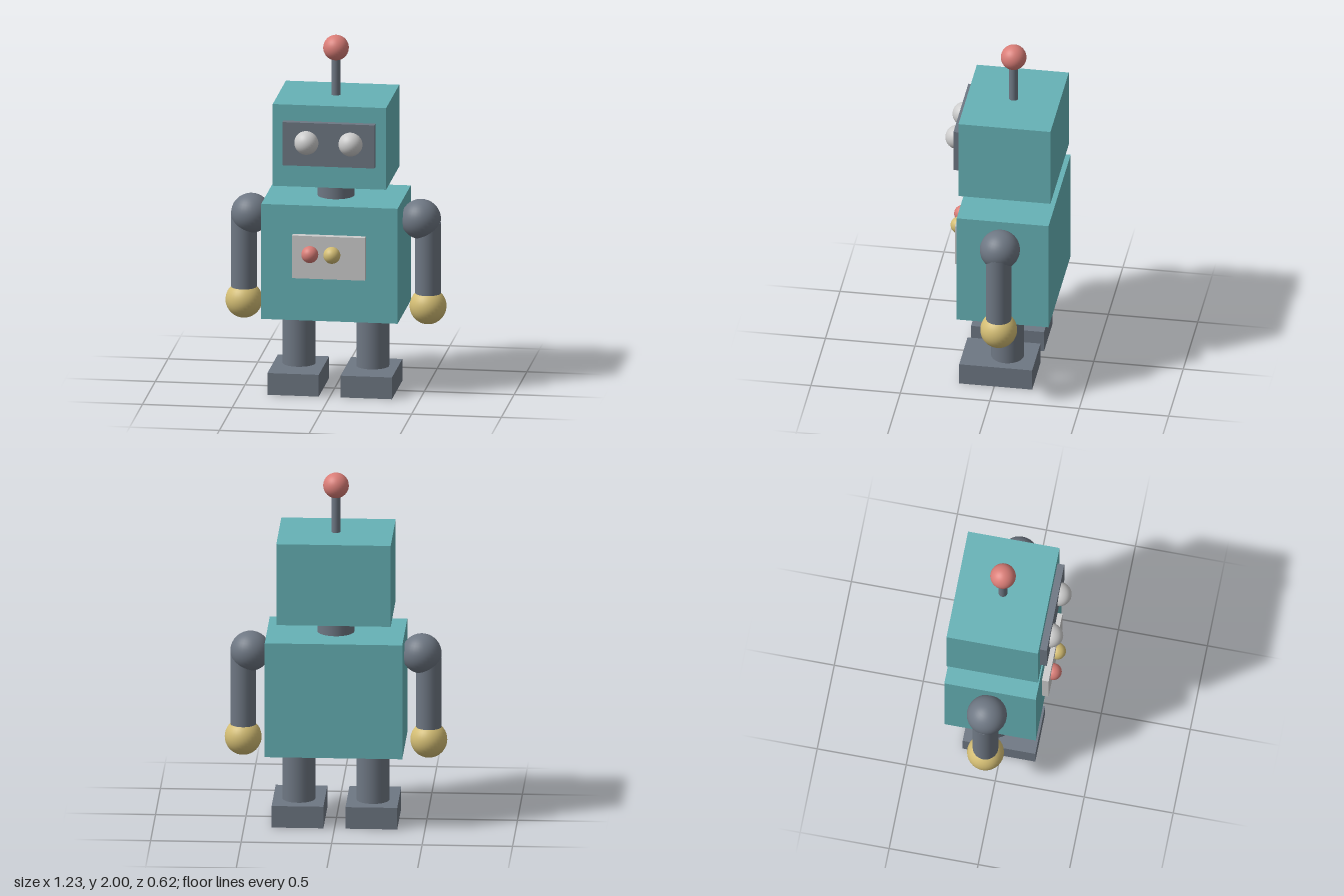
import * as THREE from 'three';

export function createModel() {
  const robot = new THREE.Group();
  robot.name = 'robot';

  const paint = (name, color) => {
    const material = new THREE.MeshStandardMaterial({ color });
    material.name = name;
    return material;
  };
  const teal = paint('teal', 0x66b2b6);
  const steel = paint('steelGrey', 0x6e7783);
  const light = paint('lightGrey', 0xcccccc);
  const red = paint('coralRed', 0xd97d77);
  const yellow = paint('sandYellow', 0xd3bd74);

  const Z = -0.052; // depth of the body's centre line

  const add = (name, geometry, material, x, y, z) => {
    const mesh = new THREE.Mesh(geometry, material);
    mesh.name = name;
    mesh.position.set(x, y, z);
    robot.add(mesh);
  };
  const box = (name, material, w, d, y0, y1, x, z) =>
    add(name, new THREE.BoxGeometry(w, y1 - y0, d), material, x, (y0 + y1) / 2, z);
  const post = (name, r, y0, y1, x) =>
    add(name, new THREE.CylinderGeometry(r, r, y1 - y0, 32), steel, x, (y0 + y1) / 2, Z);
  const ball = (name, material, r, x, y, z) =>
    add(name, new THREE.SphereGeometry(r, 32, 20), material, x, y, z);

  // Torso, neck and head
  box('torso', teal, 0.76, 0.514, 0.434, 1.09, 0, Z);
  post('neck', 0.102, 1.07, 1.22, 0);
  box('head', teal, 0.632, 0.514, 1.196, 1.662, 0, Z);

  // Antenna
  post('antennaRod', 0.025, 1.64, 1.93, 0);
  ball('antennaBall', red, 0.071, 0, 1.929, Z);

  // Visor and chest panel with its two buttons
  box('visor', steel, 0.514, 0.06, 1.325, 1.571, 0, 0.213);
  box('chestPanel', light, 0.406, 0.06, 0.683, 0.926, 0, 0.213);
  ball('redButton', red, 0.047, -0.103, 0.823, 0.25);
  ball('yellowButton', yellow, 0.047, 0.02, 0.823, 0.25);

  // Eyes, arms and legs, mirrored
  for (const [side, s] of [['left', 1], ['right', -1]]) {
    ball(side + 'Eye', light, 0.067, s * 0.123, 1.458, 0.242);
    ball(side + 'Shoulder', steel, 0.111, s * 0.473, 0.969, Z);
    post(side + 'Arm', 0.071, 0.49, 0.95, s * 0.513);
    ball(side + 'Hand', yellow, 0.102, s * 0.513, 0.475, Z);
    post(side + 'Leg', 0.091, 0.1, 0.45, s * 0.205);
    box(side + 'Foot', steel, 0.286, 0.408, 0, 0.124, s * 0.204, -0.008);
  }

  return robot;
}
